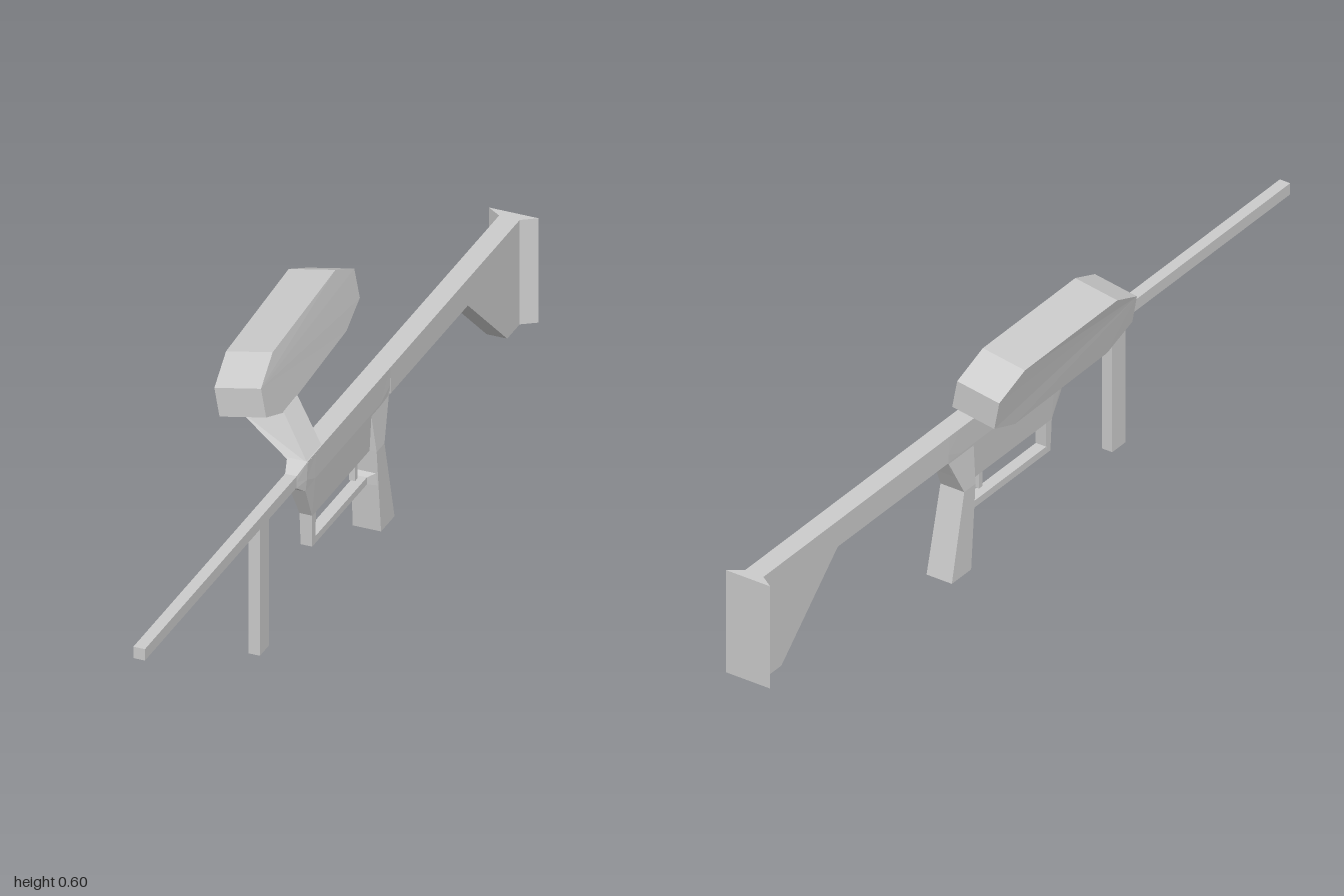
import * as THREE from 'three';

const CX = 0.069; // centre plane of the main assembly

// Skin a list of equal-length convex rings of [x, y, z] and cap both ends.
function loft(name, rings) {
  const tris = [];
  const n = rings[0].length;
  for (let r = 0; r < rings.length - 1; r++) {
    for (let i = 0; i < n; i++) {
      const j = (i + 1) % n;
      const a = rings[r][i], b = rings[r][j], c = rings[r + 1][j], d = rings[r + 1][i];
      tris.push([a, b, c], [a, c, d]);
    }
  }
  const last = rings[rings.length - 1];
  for (let i = 1; i < n - 1; i++) {
    tris.push([rings[0][0], rings[0][i + 1], rings[0][i]]);
    tris.push([last[0], last[i], last[i + 1]]);
  }
  // Signed volume decides whether the winding must be reversed
  const v = (p) => new THREE.Vector3(...p);
  const volume = tris.reduce((s, [a, b, c]) => s + v(a).dot(v(b).cross(v(c))), 0);
  if (volume < 0) tris.forEach((t) => t.reverse());
  const geo = new THREE.BufferGeometry();
  geo.setAttribute('position', new THREE.Float32BufferAttribute(tris.flat(2), 3));
  geo.computeVertexNormals();
  const mesh = new THREE.Mesh(geo, new THREE.MeshStandardMaterial({ color: 0xcccccc, flatShading: true }));
  mesh.name = name;
  return mesh;
}

// Rectangle across x at a given z
const uprightRect = (z, y0, y1, hw) => [
  [CX - hw, y0, z], [CX + hw, y0, z], [CX + hw, y1, z], [CX - hw, y1, z],
];
// Rectangle lying at a given y
const flatRect = (y, z0, z1, hw) => [
  [CX - hw, y, z0], [CX + hw, y, z0], [CX + hw, y, z1], [CX - hw, y, z1],
];
// Six-sided receiver section: full width above, narrowing to the bottom
const bodySection = (z, top, mid, bottom, hwTop, hwMid, hwBottom) => [
  [CX - hwTop, top, z], [CX - hwMid, mid, z], [CX - hwBottom, bottom, z],
  [CX + hwBottom, bottom, z], [CX + hwMid, mid, z], [CX + hwTop, top, z],
];

export function createModel() {
  const group = new THREE.Group();

  // Barrel and front grip
  group.add(loft('barrel', [uprightRect(0.17, 0.317, 0.345, 0.0135), uprightRect(1, 0.317, 0.345, 0.0135)]));
  group.add(loft('frontGrip', [flatRect(0.32, 0.337, 0.386, 0.0135), flatRect(0.006, 0.337, 0.386, 0.0135)]));

  // Receiver with tapered nose
  group.add(loft('receiver', [
    bodySection(0.19, 0.345, 0.33, 0.315, 0.0135, 0.0135, 0.0135),
    bodySection(0.155, 0.365, 0.32, 0.29, 0.024, 0.022, 0.019),
    bodySection(0.11, 0.365, 0.3, 0.205, 0.024, 0.022, 0.0145),
    bodySection(-0.238, 0.365, 0.3, 0.205, 0.024, 0.022, 0.0145),
    bodySection(-0.287, 0.365, 0.32, 0.3, 0.024, 0.023, 0.022),
  ]));

  // Stock and flared butt plate
  group.add(loft('stock', [
    uprightRect(-0.287, 0.3, 0.365, 0.024),
    uprightRect(-0.7, 0.3, 0.365, 0.024),
    uprightRect(-0.91, 0.108, 0.365, 0.024),
    uprightRect(-0.977, 0.108, 0.365, 0.024),
  ]));
  group.add(loft('buttPlate', [
    uprightRect(-0.977, 0.108, 0.365, 0.024),
    uprightRect(-1, 0.108, 0.365, 0.058),
  ]));

  // Rear grip, swelling out below the receiver
  group.add(loft('rearGrip', [
    flatRect(0.3, -0.286, -0.19, 0.021),
    flatRect(0.205, -0.239, -0.197, 0.031),
    flatRect(0, -0.288, -0.216, 0.033),
  ]));

  // Trigger and its guard
  group.add(loft('trigger', [flatRect(0.21, -0.15, -0.136, 0.007), flatRect(0.16, -0.15, -0.136, 0.007)]));
  group.add(loft('guardPost', [flatRect(0.21, 0.088, 0.111, 0.0145), flatRect(0.128, 0.092, 0.107, 0.0135)]));
  group.add(loft('guardBar', [
    uprightRect(0.107, 0.128, 0.145, 0.0135),
    uprightRect(-0.185, 0.128, 0.145, 0.0135),
    uprightRect(-0.206, 0.118, 0.15, 0.03),
  ]));

  // Slanted feed neck
  group.add(loft('feedNeck', [
    [[0.045, 0.362, 0.078], [0.093, 0.362, 0.078], [0.093, 0.362, 0.157], [0.045, 0.362, 0.157]],
    [[-0.087, 0.427, 0.035], [0.017, 0.447, 0.035], [0.017, 0.447, 0.11], [-0.087, 0.427, 0.11]],
  ]));

  // Tilted eight-sided hopper
  const side = [
    [-0.105, 0.525, 0.2], [-0.117, 0.565, 0.11], [-0.128, 0.576, -0.25], [-0.122, 0.535, -0.337],
    [-0.109, 0.466, -0.337], [-0.102, 0.432, -0.25], [-0.09, 0.423, 0.11], [-0.093, 0.457, 0.2],
  ];
  group.add(loft('hopper', [side, side.map(([x, y, z]) => [x + 0.107, y + 0.02, z - 0.004])]));

  return group;
}
